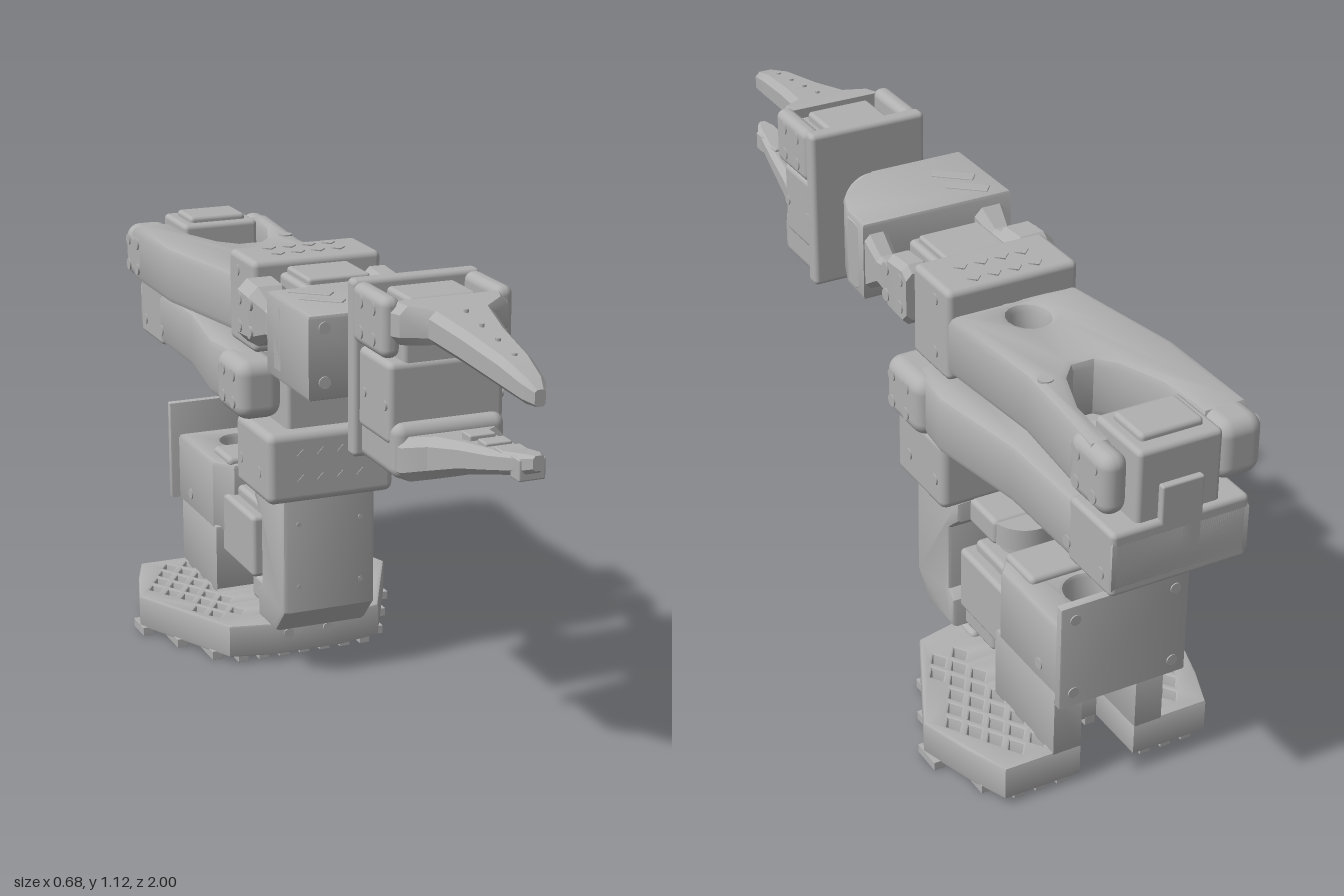
import * as THREE from 'three';
import { toCreasedNormals } from 'three/addons/utils/BufferGeometryUtils.js';
import { RoundedBoxGeometry } from 'three/addons/geometries/RoundedBoxGeometry.js';

export function createModel() {
  const model = new THREE.Group();
  model.name = 'roboticArm';
  const grey = new THREE.MeshStandardMaterial({ color: 0xb0b0b0 });
  grey.name = 'grey plastic';

  function add(name, geometry) {
    const mesh = new THREE.Mesh(geometry, grey);
    mesh.name = name;
    model.add(mesh);
    return mesh;
  }
  // Rounded box given by its limits on each axis
  function box(name, x0, x1, y0, y1, z0, z1, r = 0.012) {
    const w = x1 - x0, h = y1 - y0, d = z1 - z0;
    const g = new RoundedBoxGeometry(w, h, d, 3, Math.min(r, w / 2.1, h / 2.1, d / 2.1));
    return add(name, g.translate((x0 + x1) / 2, (y0 + y1) / 2, (z0 + z1) / 2));
  }
  function extrude(shape, depth, b) {
    return new THREE.ExtrudeGeometry(shape, { depth: depth - 2 * b, bevelSize: b, bevelThickness: b,
      bevelOffset: -b, bevelSegments: 2, curveSegments: 16 }).translate(0, 0, b);
  }
  // Outline in [z, y], extruded along x
  function side(name, pts, x0, x1, b = 0.01) {
    const g = extrude(new THREE.Shape(pts.map(p => new THREE.Vector2(...p))), x1 - x0, b);
    return add(name, toCreasedNormals(g.rotateY(-Math.PI / 2).translate(x1, 0, 0), 0.6));
  }
  // Outline in [x, z] with optional holes, extruded along y
  const flat = pts => pts.map(([x, z]) => new THREE.Vector2(x, -z));
  function plan(name, pts, y0, y1, b = 0.01, holes = []) {
    const shape = new THREE.Shape(flat(pts));
    holes.forEach(h => shape.holes.push(new THREE.Path(flat(h))));
    return add(name, toCreasedNormals(extrude(shape, y1 - y0, b).rotateX(-Math.PI / 2).translate(0, y0, 0), 0.6));
  }
  const mirror = half => [...half, ...half.map(([x, z]) => [-x, z]).reverse()];
  const ring = (x, z, rx, rz, n) => Array.from({ length: n }, (_, i) => {
    const a = i / n * Math.PI * 2;
    return [x + rx * Math.cos(a), z + rz * Math.sin(a)];
  });
  // Cylinder along a chosen axis
  function disc(name, axis, x, y, z, r, h, sides = 32) {
    const g = new THREE.CylinderGeometry(r, r, h, sides);
    if (axis === 'x') g.rotateZ(Math.PI / 2);
    if (axis === 'z') g.rotateX(Math.PI / 2);
    return add(name, g.translate(x, y, z));
  }
  // Chamfered cross-sections [z, x0, x1, y0, y1] joined from back to front
  function loft(name, sections) {
    const rings = sections.map(([z, x0, x1, y0, y1]) => {
      const c = 0.22 * Math.min(x1 - x0, y1 - y0);
      return [[x1, y0 + c], [x1, y1 - c], [x1 - c, y1], [x0 + c, y1], [x0, y1 - c], [x0, y0 + c], [x0 + c, y0], [x1 - c, y0]]
        .map(p => [...p, z]);
    });
    const pos = [], tri = (...v) => v.forEach(p => pos.push(...p));
    const last = rings[rings.length - 1];
    for (let i = 0; i + 1 < rings.length; i++) for (let k = 0; k < 8; k++) {
      const n = (k + 1) % 8, p = rings[i], q = rings[i + 1];
      tri(p[k], p[n], q[n]);
      tri(p[k], q[n], q[k]);
    }
    for (let k = 1; k < 7; k++) {
      tri(last[0], last[k], last[k + 1]);
      tri(rings[0][0], rings[0][k + 1], rings[0][k]);
    }
    const g = new THREE.BufferGeometry();
    g.setAttribute('position', new THREE.Float32BufferAttribute(pos, 3));
    return add(name, toCreasedNormals(g, 0.5));
  }
  // Square of four screws on the outer face of a joint
  function jointScrews(x, y, z) {
    for (const dy of [-0.033, 0.033]) for (const dz of [-0.033, 0.033])
      disc('jointScrew', 'x', x, y + dy, z + dz, 0.015, 0.006, 16);
  }

  // Foot plate with pierced wings and a rear slot
  const wingHoles = [];
  for (let row = 0; row < 9; row++) for (let col = 0; col < 4; col++) {
    const x = 0.145 + col * 0.055 + (row % 2) * 0.0275, z = -0.7 + row * 0.045;
    const limit = z < -0.53 ? 0.34 - (-0.53 - z) * 0.35 : 0.34 - (z + 0.53) * 0.5;
    if (x < limit - 0.035) for (const s of [-1, 1]) wingHoles.push(ring(s * x, z, 0.018, 0.026, 4));
  }
  plan('footPlate', mirror([[0.09, -0.22], [0.2, -0.245], [0.34, -0.53], [0.3, -0.66], [0.26, -0.76], [0.07, -0.76], [0.07, -0.6]]),
    0.016, 0.1, 0.006, wingHoles);
  for (let i = -6; i <= 6; i++) {
    const x = i * 0.0545, a = Math.abs(x);
    const front = a < 0.2 ? -0.245 : -0.25 - (a - 0.2) * 2;
    const back = a < 0.07 ? -0.6 : a < 0.25 ? -0.75 : -0.75 + (a - 0.25) * 2.2;
    box('footRib', x - 0.0135, x + 0.0135, 0, 0.022, back, front, 0.001);
  }
  box('footFrontBlock', -0.09, 0.09, 0.016, 0.112, -0.3, -0.22);
  for (const x of [-0.052, 0.052]) disc('footScrew', 'z', x, 0.07, -0.219, 0.014, 0.006, 6);

  // Column and base motor housing
  plan('baseColumn', mirror([[0.14, -0.5], [0.14, -0.76], [0.07, -0.76], [0.07, -0.6]]), 0.09, 0.27, 0.006);
  plan('baseMotorHousing', mirror([[0.1, -0.47], [0.14, -0.52], [0.14, -0.78]]), 0.25, 0.44, 0.012, [ring(0, -0.67, 0.06, 0.06, 24)]);
  box('baseMotor', -0.12, 0.12, 0.2, 0.36, -0.55, -0.29);
  box('baseMotorCap', -0.09, 0.09, 0.35, 0.385, -0.5, -0.31);
  box('baseMotorCover', -0.11, 0.11, 0.43, 0.455, -0.6, -0.48);
  side('rearPlate', [[-0.79, 0.26], [-0.79, 0.52], [-0.81, 0.52], [-0.81, 0.26]], -0.16, 0.16, 0.004);
  for (const x of [-0.125, 0.125]) for (const y of [0.295, 0.485]) disc('rearPlateScrew', 'z', x, y, -0.81, 0.013, 0.006, 16);
  box('rearPlateMount', -0.1, 0.1, 0.28, 0.43, -0.795, -0.77, 0.004);
  for (const s of [-1, 1]) disc('housingScrew', 'x', s * 0.14, 0.3, -0.69, 0.014, 0.006, 16);

  // Turning bracket around the base motor
  side('turretSpine', [[-0.08, 0.47], [-0.08, 0.18], [-0.14, 0.115], [-0.26, 0.115], [-0.26, 0.19], [-0.235, 0.21],
    [-0.235, 0.38], [-0.28, 0.42], [-0.28, 0.47]], -0.12, 0.12, 0.012);
  for (const [y0, y1] of [[0.115, 0.18], [0.41, 0.475]]) {
    box('turretArm', -0.085, 0.085, y0, y1, -0.39, -0.24);
    disc('turretArmEnd', 'y', 0, (y0 + y1) / 2, -0.375, 0.08, y1 - y0 - 0.01);
  }
  disc('turretHorn', 'y', 0, 0.395, -0.375, 0.055, 0.05);
  disc('turretLowerHorn', 'y', 0, 0.19, -0.375, 0.055, 0.04);
  for (const x of [-0.08, 0.08]) for (const y of [0.245, 0.405]) disc('turretPin', 'z', x, y, -0.08, 0.006, 0.005, 12);

  // Clamps with diamond studs
  box('shoulderClamp', -0.163, 0.161, 0.465, 0.64, -0.285, -0.062, 0.02);
  box('forearmClamp', -0.163, 0.163, 0.82, 1.04, -0.315, -0.15, 0.015);
  for (let i = 0; i < 4; i++) for (let j = 0; j < 2; j++) {
    const x = -0.075 + i * 0.051;
    disc('clampDiamond', 'z', x, 0.52 + j * 0.064, -0.062, 0.016, 0.006, 4);
    disc('clampDiamond', 'y', x, 1.04, -0.275 + j * 0.06, 0.018, 0.006, 4);
    disc('elbowDiamond', 'y', x, 0.668, -0.94 + j * 0.06, 0.018, 0.006, 4);
  }
  for (const s of [-1, 1]) {
    for (const z of [-0.125, -0.25]) disc('clampScrew', 'x', s * 0.162, 0.535, z, 0.014, 0.006, 16);
    for (const y of [0.87, 1.0]) disc('clampScrew', 'x', s * 0.163, y, -0.255, 0.014, 0.006, 16);
  }

  // Upper arm: shoulder motor, fork, elbow bracket
  box('shoulderMotor', -0.1, 0.1, 0.62, 0.8, -0.29, -0.1);
  plan('upperArm', mirror([[0.1, -0.25], [0.19, -0.2], [0.205, -0.35], [0.165, -0.6], [0.163, -1.0]].slice(1).concat([]))
    .concat([[-0.1, -0.2], [-0.1, -0.36], [-0.05, -0.44], [0.05, -0.44], [0.1, -0.36], [0.1, -0.2]]),
    0.67, 0.812, 0.02, [ring(0, -0.69, 0.055, 0.085, 20)]);
  for (const s of [-1, 1]) {
    const a = s * 0.103, b = s * 0.217;
    box('shoulderKnuckle', Math.min(a, b), Math.max(a, b), 0.665, 0.81, -0.28, -0.11, 0.035);
    jointScrews(s * 0.217, 0.74, -0.185);
    for (const z of [-0.83, -0.96]) disc('elbowScrew', 'x', s * 0.164, 0.71, z, 0.014, 0.006, 16);
  }
  box('elbowBracket', -0.164, 0.164, 0.668, 0.82, -1.0, -0.83, 0.012);

  // Elbow motor between the forearm forks
  box('elbowMotor', -0.1, 0.1, 0.78, 0.985, -0.985, -0.815);
  box('elbowMotorTab', -0.05, 0.05, 0.72, 0.9, -1.0, -0.95, 0.005);
  box('elbowMotorCap', -0.075, 0.075, 0.97, 1.0, -0.95, -0.84, 0.01);
  plan('forearm', [[-0.215, -0.9], [-0.215, -0.62], [-0.16, -0.3], [0.16, -0.3], [0.135, -0.6], [0.16, -0.9],
    [0.11, -0.9], [0.1, -0.76], [0.06, -0.65], [0.025, -0.61], [-0.025, -0.61], [-0.06, -0.65], [-0.1, -0.76], [-0.11, -0.9]],
    0.835, 0.98, 0.02, [ring(0, -0.38, 0.045, 0.05, 16)]);
  box('elbowKnuckle', -0.217, -0.105, 0.835, 0.975, -0.968, -0.82, 0.035);
  box('elbowKnuckle', 0.105, 0.167, 0.835, 0.975, -0.968, -0.82, 0.03);
  for (const x of [-0.217, 0.167]) jointScrews(x, 0.905, -0.892);
  disc('forearmScrew', 'y', 0.11, 0.979, -0.64, 0.017, 0.008, 16);

  // Wrist motor and link
  box('wristMotor', -0.095, 0.09, 0.86, 1.01, -0.17, 0.01);
  box('wristMotorCap', -0.08, 0.075, 1.0, 1.025, -0.15, -0.01, 0.008);
  for (const [inner, outer] of [[-0.11, -0.217], [0.1, 0.168]]) {
    const x0 = Math.min(inner, outer), x1 = Math.max(inner, outer), thin = outer < 0 ? 0.025 : 0.008;
    loft('wristLinkArm', [[-0.13, x0, x1, 0.885, 1.0], [-0.11, x0, x1, 0.865, 1.015], [-0.04, x0, x1, 0.87, 1.01],
      [0.0, x0 + thin, x1 - thin, 0.895, 0.975], [0.03, x0 + thin, x1 - thin, 0.9, 0.97], [0.12, x0, x1, 0.84, 1.032], [0.16, x0, x1, 0.84, 1.032]]);
    jointScrews(outer, 0.94, -0.065);
  }
  plan('wristBody', [[-0.217, 0.08], [-0.217, 0.33], [0.02, 0.33], [0.09, 0.29], [0.14, 0.235], [0.165, 0.17], [0.168, 0.08]], 0.838, 1.033, 0.01);
  for (const z of [0.14, 0.21]) box('wristTopBar', -0.05, 0.05, -0.003, 0.003, -0.016, 0.016, 0.002)
    .position.set(-0.135, 1.033, z);
  model.children.slice(-2).forEach(bar => { bar.rotation.y = -0.7; });
  for (const y of [0.88, 1.003]) disc('wristScrew', 'z', -0.18, y, 0.331, 0.014, 0.006, 16);
  disc('wristRollHorn', 'z', 0, 0.93, 0.355, 0.07, 0.07);

  // Gripper palm and motor
  box('gripperBackPlate', -0.15, 0.15, 0.73, 1.125, 0.38, 0.42, 0.012);
  box('gripperPalm', -0.135, 0.135, 0.8, 0.98, 0.4, 0.575, 0.015);
  box('gripperPalmBase', -0.13, 0.13, 0.727, 0.85, 0.39, 0.6, 0.025);
  box('gripperMotor', -0.1, 0.1, 0.9, 1.09, 0.41, 0.57);
  box('gripperMotorCap', -0.08, 0.08, 1.08, 1.11, 0.43, 0.55, 0.01);

  // Jaws
  for (const s of [-1, 1]) {
    box('upperJawKnuckle', s * 0.13 - 0.022, s * 0.13 + 0.022, 0.99, 1.122, 0.41, 0.58, 0.02);
    jointScrews(s * 0.152, 1.057, 0.495);
    for (const z of [0.445, 0.555]) disc('palmScrew', 'x', s * 0.135, 0.885, z, 0.011, 0.006, 16);
  }
  const jaw = (name, rows) => loft(name, rows.map(([z, w, y0, y1]) => [z, -w, w, y0, y1]));
  jaw('upperJaw', [[0.565, 0.14, 1.02, 1.112], [0.605, 0.125, 1.025, 1.11], [0.64, 0.075, 1.03, 1.103],
    [0.75, 0.055, 1.015, 1.085], [0.89, 0.04, 1.0, 1.065], [0.97, 0.027, 0.99, 1.043], [1.0, 0.012, 0.99, 1.025]]);
  jaw('lowerJaw', [[0.565, 0.13, 0.725, 0.825], [0.605, 0.12, 0.727, 0.825], [0.65, 0.08, 0.742, 0.835],
    [0.75, 0.057, 0.78, 0.85], [0.86, 0.042, 0.812, 0.865], [0.97, 0.027, 0.843, 0.887], [1.0, 0.012, 0.858, 0.89]]);
  for (let i = 0; i < 4; i++) {
    const z = 0.66 + i * 0.075;
    disc('jawDimple', 'y', 0, 1.1 - i * 0.012, z, 0.006, 0.012, 8);
    box('lowerJawTooth', -0.03, 0.03, 0.83, 0.862 + i * 0.005, z + 0.05, z + 0.09, 0.004);
  }
  return model;
}
